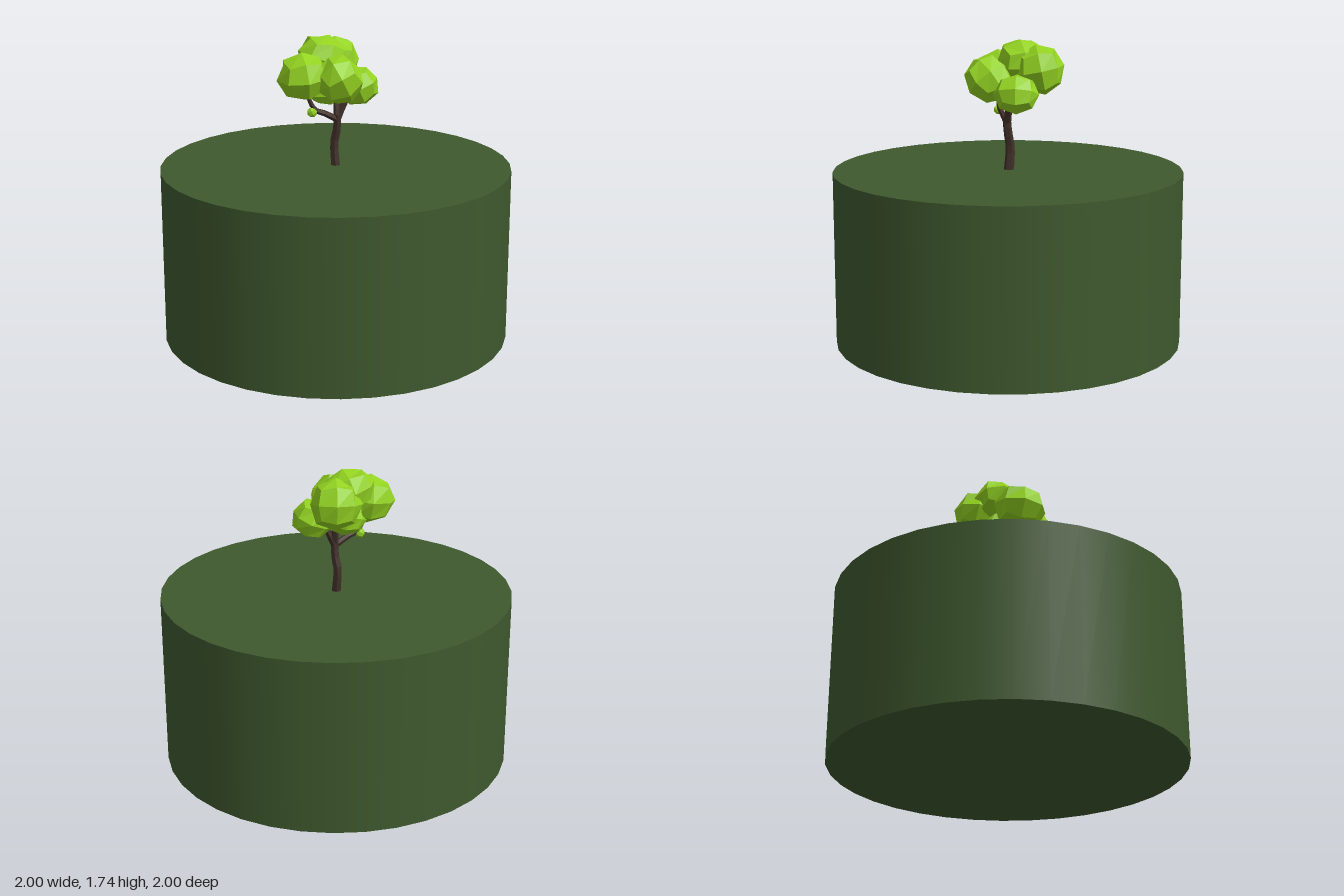
import * as THREE from 'three';

const ground = new THREE.MeshStandardMaterial({ color: 0x3f592e });
ground.name = 'dark grass green';
const bark = new THREE.MeshStandardMaterial({ color: 0x402f28, flatShading: true });
bark.name = 'bark brown';
const leaf = new THREE.MeshStandardMaterial({ color: 0x93d321, flatShading: true });
leaf.name = 'leaf green';

function add(group, name, geometry, material) {
  const mesh = new THREE.Mesh(geometry, material);
  mesh.name = name;
  group.add(mesh);
  return mesh;
}

// Six-sided limb through the points, tapering from r0 to r1
function limb(points, r0, r1) {
  const path = new THREE.CatmullRomCurve3(points.map((p) => new THREE.Vector3(...p)));
  const steps = 6, sides = 6;
  const geometry = new THREE.TubeGeometry(path, steps, 1, sides);
  const pos = geometry.attributes.position, v = new THREE.Vector3();
  for (let i = 0; i < pos.count; i++) {
    const t = Math.floor(i / (sides + 1)) / steps;
    const centre = path.getPointAt(t);
    v.fromBufferAttribute(pos, i).sub(centre).multiplyScalar(r0 + (r1 - r0) * t).add(centre);
    pos.setXYZ(i, v.x, v.y, v.z);
  }
  return geometry;
}

// Chunky leaf clump: a cube with four quads per side, rounded to a ball
function clump() {
  const geometry = new THREE.BoxGeometry(2, 2, 2, 2, 2, 2);
  const pos = geometry.attributes.position, v = new THREE.Vector3();
  for (let i = 0; i < pos.count; i++) {
    v.fromBufferAttribute(pos, i).normalize();
    // Slight unevenness that agrees on shared corners
    v.multiplyScalar(1 + 0.04 * Math.sin(5 * v.x + 3 * v.y + 7 * v.z));
    pos.setXYZ(i, v.x, v.y, v.z);
  }
  return geometry;
}

export function createModel() {
  const model = new THREE.Group();
  model.name = 'treeOnMound';

  // Round block of ground
  add(model, 'ground', new THREE.CylinderGeometry(1, 1, 1, 36), ground).position.y = 0.5;

  // Trunk and branches
  const tree = new THREE.Group();
  tree.name = 'tree';
  model.add(tree);
  add(tree, 'trunk', limb([[0, 0.99, -0.005], [-0.008, 1.13, -0.012], [0.008, 1.22, 0], [0.008, 1.3, 0.006]], 0.029, 0.023), bark);
  add(tree, 'leftBranch', limb([[0.008, 1.27, 0.005], [0.035, 1.33, -0.005], [0.06, 1.38, -0.01], [0.1, 1.45, -0.04]], 0.023, 0.014), bark);
  add(tree, 'rightBranch', limb([[0.006, 1.27, 0.005], [-0.06, 1.31, 0.035], [-0.12, 1.34, 0.06], [-0.17, 1.45, 0.07]], 0.02, 0.012), bark);
  add(tree, 'backBranch', limb([[0.008, 1.28, 0.005], [0.005, 1.38, -0.02], [-0.03, 1.52, -0.1]], 0.022, 0.014), bark);

  // Leaf clumps: name, centre, radii, rotation
  const clumps = [
    ['rightClump', [-0.18, 1.53, 0.06], [0.15, 0.14, 0.155], [0.1, 0.2, 0.1]],
    ['frontClump', [0.02, 1.52, 0.105], [0.135, 0.145, 0.135], [0.6, 0.4, 0.3]],
    ['leftClump', [0.13, 1.45, -0.06], [0.12, 0.115, 0.13], [0, 0, 0.4]],
    ['topClump', [-0.07, 1.62, -0.07], [0.15, 0.125, 0.14], [0.1, 0.3, -0.3]],
    ['backClump', [0, 1.575, -0.185], [0.145, 0.145, 0.14], [0.2, 0.1, 0]],
    ['lowerClump', [-0.05, 1.45, -0.04], [0.12, 0.1, 0.12], [0.3, 0.2, 0.1]],
    ['smallClump', [-0.133, 1.325, 0.065], [0.03, 0.03, 0.028], [0.3, 0.2, 0.4]],
  ];
  for (const [name, centre, radii, turn] of clumps) {
    const mesh = add(tree, name, clump(), leaf);
    mesh.position.set(...centre);
    mesh.scale.set(...radii);
    mesh.rotation.set(...turn);
  }
  return model;
}
